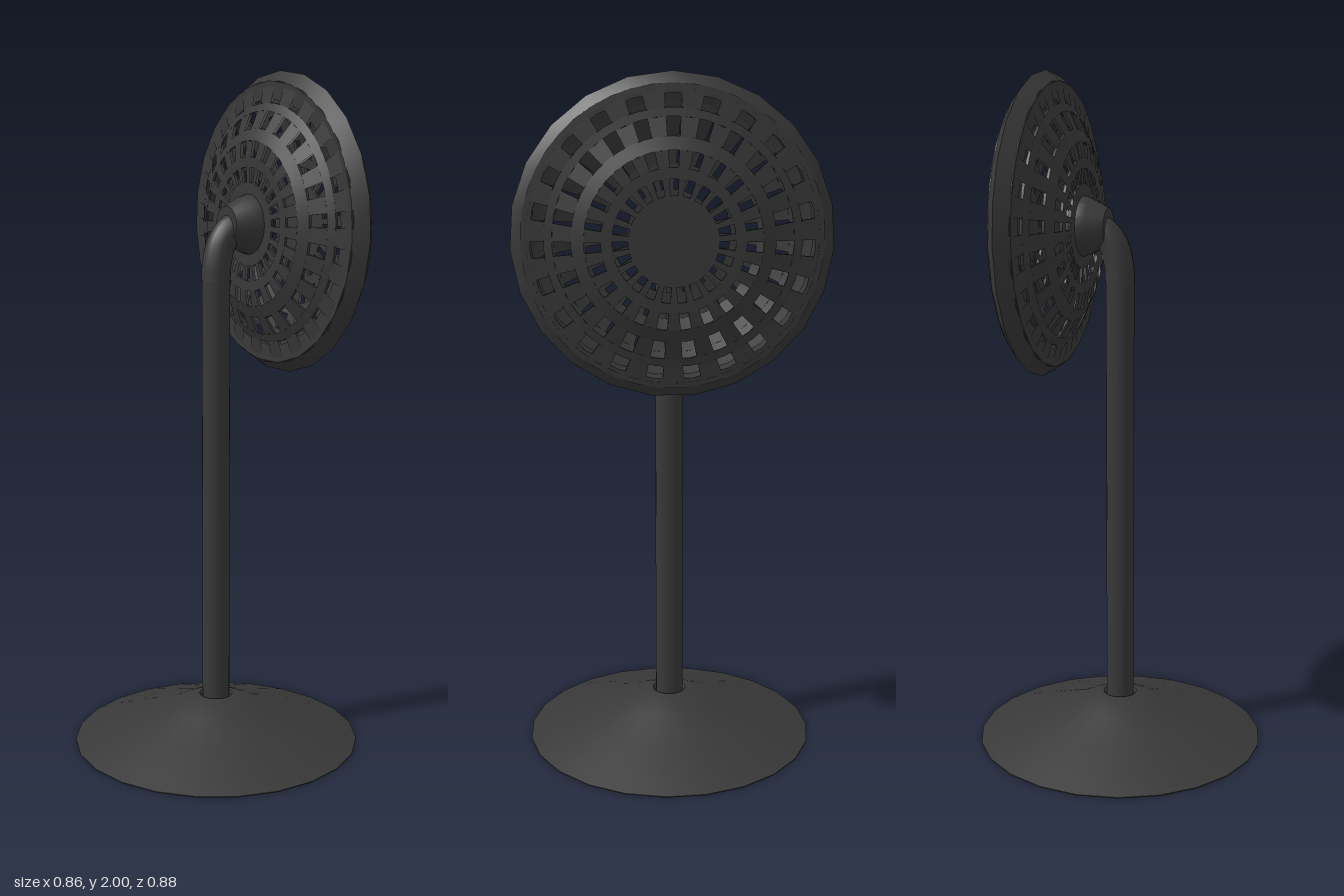
import * as THREE from 'three';
import { mergeGeometries, toCreasedNormals } from 'three/addons/utils/BufferGeometryUtils.js';

const SIDES = 23;
const HEAD_Y = 1.56;
const STEP = (Math.PI * 2) / SIDES;
const material = new THREE.MeshStandardMaterial({ color: 0x383838, side: THREE.DoubleSide });

const toPoints = (list) => list.map(([r, h]) => new THREE.Vector2(r, h));

function addMesh(parent, name, geometry) {
  const mesh = new THREE.Mesh(geometry, material);
  mesh.name = name;
  parent.add(mesh);
  return mesh;
}

// Lathe about the head's axis, with its height running along +x
function headLathe(profile, segments, start = -Math.PI / 2, length = Math.PI * 2) {
  return new THREE.LatheGeometry(toPoints(profile), segments, start, length).rotateZ(-Math.PI / 2);
}

// Closed strip of plate between two [radius, x] points
function strip([r0, x0], [r1, x1], thickness) {
  return [[r0, x0], [r1, x1], [r1, x1 + thickness], [r0, x0 + thickness], [r0, x0]];
}

// Grille: solid rings alternating with rows of spokes, from the outside in
function grille(profile, offset, thickness) {
  const parts = [];
  for (let i = 0; i < profile.length - 1; i++) {
    const section = strip(profile[i + 1], profile[i], thickness);
    if (i % 2 === 0) {
      parts.push(headLathe(section, SIDES * 2));
      continue;
    }
    const width = STEP * (profile[i][0] < 0.18 ? 0.44 : 0.56);
    for (let k = 0; k < SIDES; k++) {
      const middle = -Math.PI / 2 + (k + offset) * STEP;
      parts.push(headLathe(section, 1, middle - width / 2, width));
    }
  }
  return toCreasedNormals(mergeGeometries(parts), 0.5);
}

export function createModel() {
  const model = new THREE.Group();
  model.name = 'pedestalFan';

  // Flared foot with a small recess around the pole
  const base = [[0, 0], [0.43, 0], [0.43, 0.003], [0.36, 0.028], [0.27, 0.06],
    [0.13, 0.108], [0.06, 0.138], [0.05, 0.138], [0.038, 0.12]];
  addMesh(model, 'base', toCreasedNormals(
    new THREE.LatheGeometry(toPoints(base), SIDES, Math.PI), 0.7));

  // Upright pole and the bend into the head
  addMesh(model, 'pole', new THREE.CylinderGeometry(0.041, 0.041, 1.32, SIDES, 1, true))
    .position.y = 0.76;
  const bend = new THREE.CatmullRomCurve3([
    [0, 1.4], [0.003, 1.45], [0.02, 1.51], [0.055, 1.55], [0.1, HEAD_Y],
  ].map(([x, y]) => new THREE.Vector3(x, y, 0)));
  addMesh(model, 'neck', new THREE.TubeGeometry(bend, 14, 0.043, 16));

  const head = new THREE.Group();
  head.name = 'head';
  head.position.y = HEAD_Y;
  model.add(head);

  // Tapered motor housing
  const motor = [[0, 0.035], [0.055, 0.035], [0.065, 0.055], [0.08, 0.085],
    [0.09, 0.115], [0.085, 0.145], [0, 0.145]];
  addMesh(head, 'motorHousing', toCreasedNormals(headLathe(motor, SIDES), 0.7));

  // Faceted outer rim
  const rim = [[0.36, 0.18], [0.41, 0.18], [0.44, 0.22], [0.41, 0.245],
    [0.385, 0.247], [0.385, 0.19], [0.36, 0.18]];
  addMesh(head, 'rim', toCreasedNormals(headLathe(rim, SIDES), 0.4));

  // Front grille with a solid central disc
  addMesh(head, 'frontGrille', grille([
    [0.41, 0.238], [0.395, 0.24], [0.348, 0.247], [0.325, 0.252], [0.275, 0.268],
    [0.24, 0.282], [0.195, 0.287], [0.165, 0.289], [0.122, 0.29], [0, 0.29],
  ], 0.5, 0.008));

  // Back grille, its spokes staggered against the front ones
  addMesh(head, 'backGrille', grille([
    [0.41, 0.182], [0.395, 0.18], [0.348, 0.17], [0.325, 0.158], [0.275, 0.133],
    [0.24, 0.116], [0.195, 0.109], [0.165, 0.109], [0.122, 0.109], [0.06, 0.109],
  ], 0, 0.008));

  return model;
}
